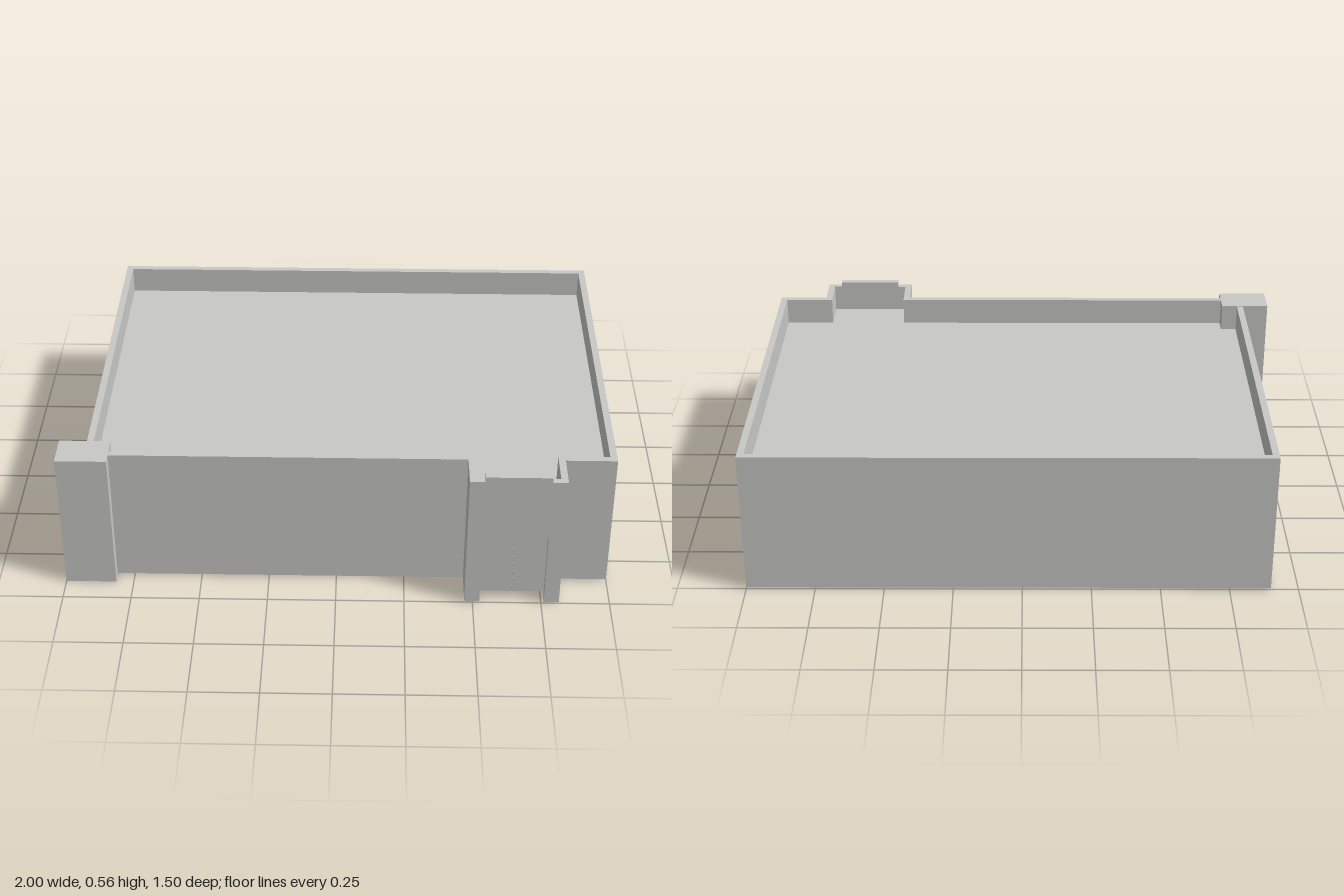
import * as THREE from 'three';

const T = 0.025;      // wall thickness
const BASE = 0.006;   // underside of walls
const TOP = 0.543;    // parapet height
const FLOOR = 0.045;  // floor slab top
const ROOF = 0.44;    // roof surface inside the parapet
const DOOR = 0.3;     // head of the doorways

export function createModel() {
  const group = new THREE.Group();
  group.name = 'building';
  const concrete = new THREE.MeshStandardMaterial({ color: 0xc8c8c6 });
  concrete.name = 'concrete grey';

  const add = (name, geometry) => {
    const mesh = new THREE.Mesh(geometry, concrete);
    mesh.name = name;
    group.add(mesh);
    return mesh;
  };

  // Box given by its limits on each axis
  const block = (name, x0, x1, y0, y1, z0, z1) => {
    const mesh = add(name, new THREE.BoxGeometry(x1 - x0, y1 - y0, z1 - z0));
    mesh.position.set((x0 + x1) / 2, (y0 + y1) / 2, (z0 + z1) / 2);
    return mesh;
  };

  // Wall from u0 to u1 with a doorway d0..d1 cut up from its foot, optionally raised above it
  const doorWall = (name, u0, u1, d0, d1, raise = 0) => {
    const points = [[u0, BASE], [d0, BASE], [d0, DOOR], [d1, DOOR], [d1, BASE], [u1, BASE], [u1, TOP]];
    if (raise) points.push([d1, TOP], [d1, TOP + raise], [d0, TOP + raise], [d0, TOP]);
    points.push([u0, TOP]);
    const shape = new THREE.Shape(points.map(([u, y]) => new THREE.Vector2(u, y)));
    return add(name, new THREE.ExtrudeGeometry(shape, { depth: T, bevelEnabled: false }));
  };

  // Horizontal slab filling the inside of the walls, entrance bay included
  const slab = (name, y, thickness) => {
    const outline = [
      [-0.9 + T, -0.75 + T], [1 - T, -0.75 + T], [1 - T, 0.615 - T], [0.815 - T, 0.615 - T],
      [0.815 - T, 0.75 - T], [0.47 + T, 0.75 - T], [0.47 + T, 0.615 - T], [-0.9 + T, 0.615 - T],
    ];
    const shape = new THREE.Shape(outline.map(([x, z]) => new THREE.Vector2(x, -z)));
    const geometry = new THREE.ExtrudeGeometry(shape, { depth: thickness, bevelEnabled: false });
    geometry.rotateX(-Math.PI / 2);
    add(name, geometry).position.y = y - thickness;
  };

  slab('floorSlab', FLOOR, 0.01);
  slab('roofDeck', ROOF, 0.02);

  // Plain outer walls
  block('backWall', -0.9, 1, BASE, TOP, -0.75, -0.75 + T);
  block('leftWall', 1 - T, 1, BASE, TOP, -0.75 + T, 0.615);
  block('frontWall', -0.9 + T, 0.47 + T, BASE, TOP, 0.615 - T, 0.615);
  block('frontWallShort', 0.815 - T, 1 - T, BASE, TOP, 0.615 - T, 0.615);

  // Right wall with the side doorway
  const rightWall = doorWall('rightWall', -0.75 + T, 0.615, 0.28, 0.41);
  rightWall.rotation.y = -Math.PI / 2;
  rightWall.position.x = -0.9 + T;
  block('sideDoor', -0.9 + T, -0.87, FLOOR, DOOR + 0.01, 0.27, 0.42);

  // Projecting entrance bay
  block('entranceCheekRight', 0.47, 0.47 + T, BASE, TOP, 0.615, 0.75 - T);
  block('entranceCheekLeft', 0.815 - T, 0.815, BASE, TOP, 0.615, 0.75 - T);
  doorWall('entranceFront', 0.47, 0.815, 0.525, 0.76, 0.02).position.z = 0.75 - T;

  // Double entrance door behind the front opening
  for (const [name, x0, x1] of [['doorLeafRight', 0.52, 0.642], ['doorLeafLeft', 0.643, 0.765]]) {
    block(name, x0, x1, FLOOR, DOOR + 0.01, 0.718, 0.75 - T);
  }

  // Corner pillar
  block('cornerPillar', -1, -0.815, 0, TOP + 0.002, 0.53, 0.658);

  return group;
}
